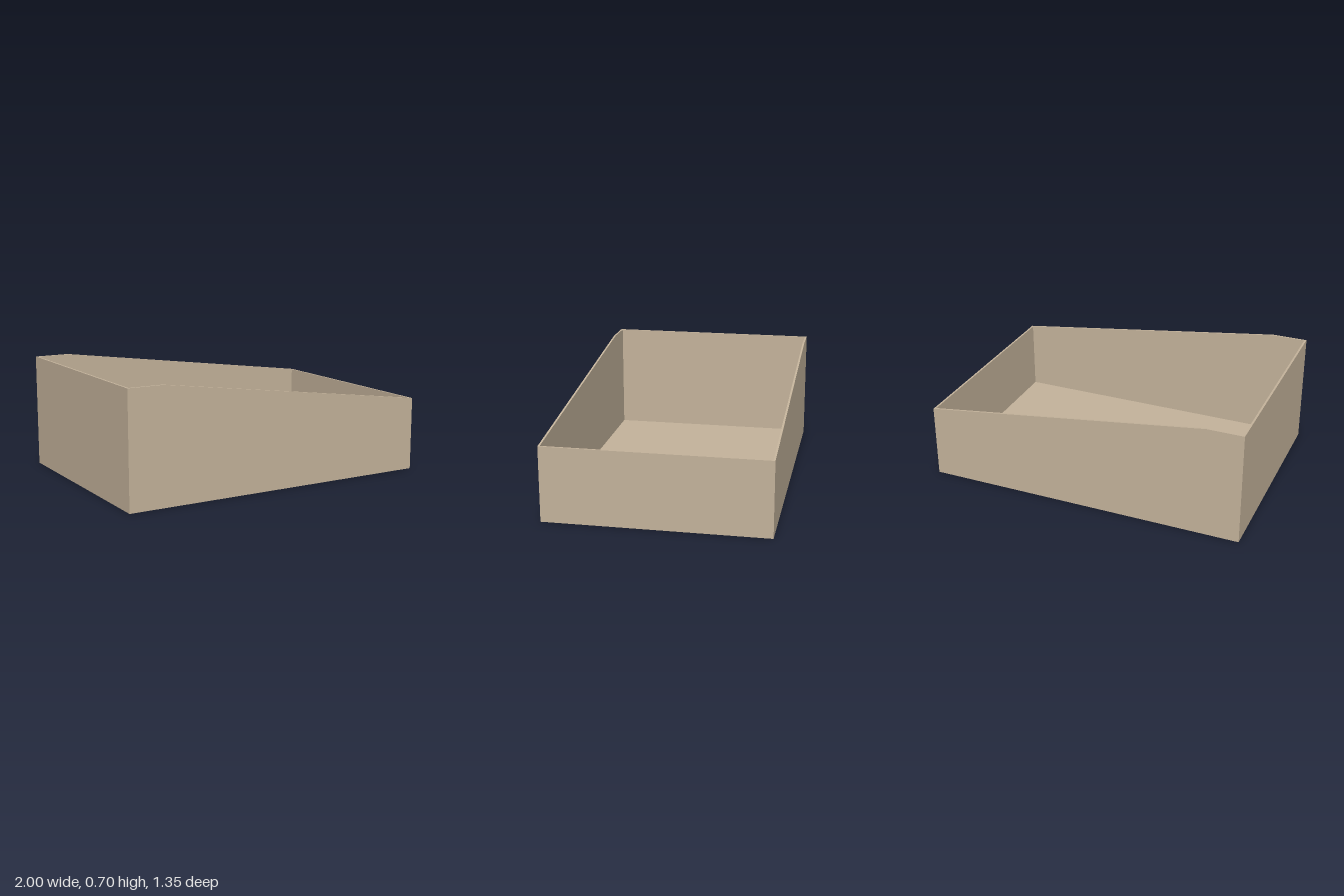
import * as THREE from 'three';

const HALF_W = 1, HALF_D = 0.677, T = 0.012;
const HIGH = 0.705, LOW = 0.46, BEND = -0.78;

export function createModel() {
  const group = new THREE.Group();
  group.name = 'openTray';
  const material = new THREE.MeshStandardMaterial({ color: 0xc4b39b, flatShading: true });

  function add(name, geometry, x, y, z) {
    const mesh = new THREE.Mesh(geometry, material);
    mesh.name = name;
    mesh.position.set(x, y, z);
    group.add(mesh);
  }

  // Long walls: flat at the high end, then sloping down to the low end
  const profile = new THREE.Shape([
    new THREE.Vector2(-HALF_W, 0),
    new THREE.Vector2(HALF_W, 0),
    new THREE.Vector2(HALF_W, LOW),
    new THREE.Vector2(BEND, HIGH),
    new THREE.Vector2(-HALF_W, HIGH),
  ]);
  const wall = new THREE.ExtrudeGeometry(profile, { depth: T, bevelEnabled: false });
  add('frontWall', wall, 0, 0, HALF_D - T);
  add('backWall', wall, 0, 0, -HALF_D);

  // Short end walls fitted between the long walls
  const innerD = 2 * (HALF_D - T);
  add('highEndWall', new THREE.BoxGeometry(T, HIGH, innerD), -HALF_W + T / 2, HIGH / 2, 0);
  add('lowEndWall', new THREE.BoxGeometry(T, LOW, innerD), HALF_W - T / 2, LOW / 2, 0);

  // Floor panel
  add('floor', new THREE.BoxGeometry(2 * (HALF_W - T), T, innerD), 0, T / 2, 0);

  return group;
}
